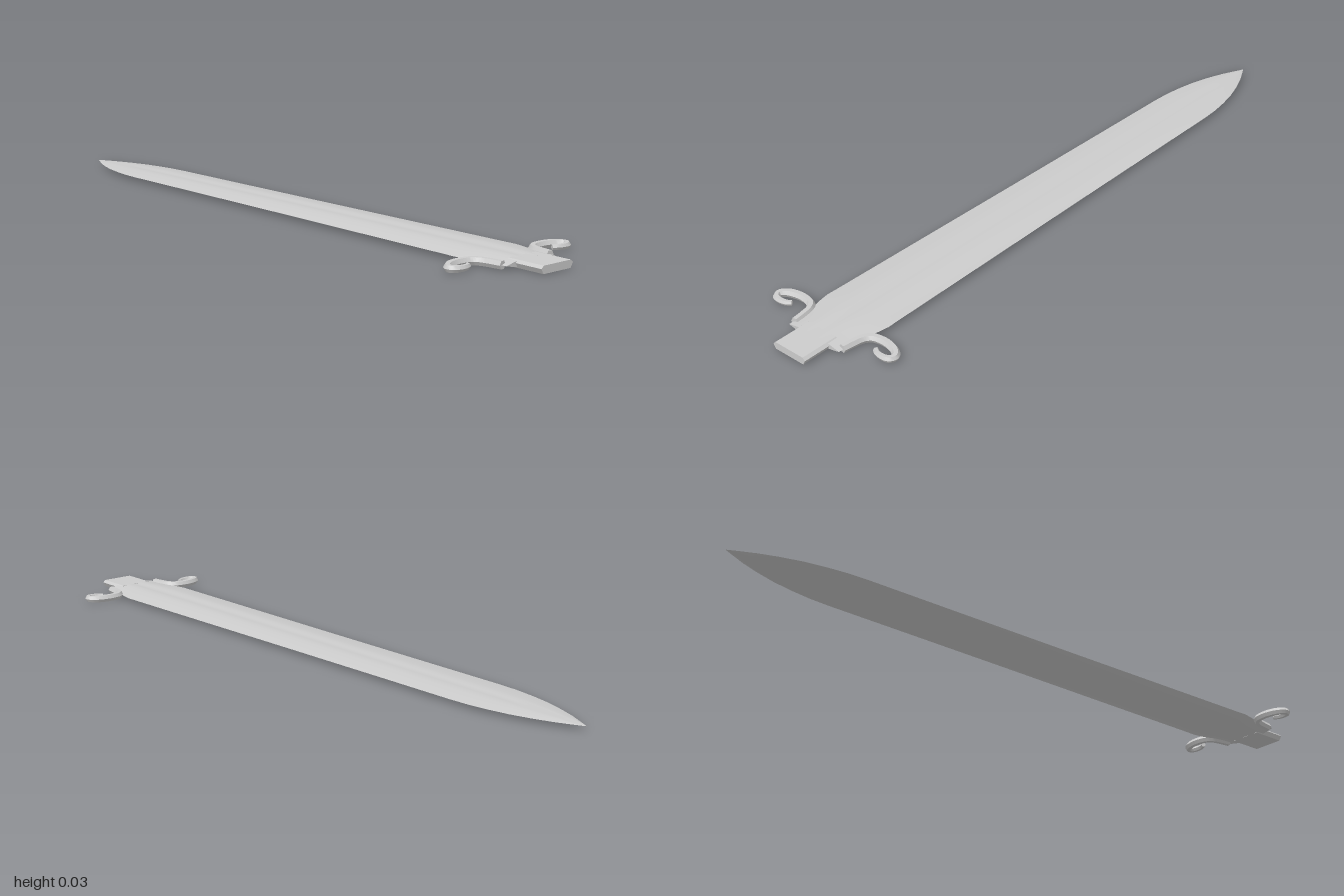
import * as THREE from 'three';
import { toCreasedNormals } from 'three/addons/utils/BufferGeometryUtils.js';

const MID = 0.0125; // height of the sword's central plane

// Skin closed rings of points (counter-clockwise about the travel direction), capped at both ends
function loft(rings, crease) {
  const n = rings[0].length, pos = [], idx = [];
  rings.forEach(r => r.forEach(p => pos.push(p.x, p.y, p.z)));
  for (let i = 0; i < rings.length - 1; i++) {
    for (let j = 0; j < n; j++) {
      const k = (j + 1) % n;
      const a = i * n + j, b = i * n + k, c = a + n, d = b + n;
      idx.push(a, b, d, a, d, c);
    }
  }
  [0, rings.length - 1].forEach((i, end) => {
    const centre = new THREE.Vector3();
    rings[i].forEach(p => centre.addScaledVector(p, 1 / n));
    const c = pos.length / 3;
    pos.push(centre.x, centre.y, centre.z);
    for (let j = 0; j < n; j++) {
      const a = i * n + j, b = i * n + (j + 1) % n;
      if (end) idx.push(c, a, b); else idx.push(c, b, a);
    }
  });
  const geo = new THREE.BufferGeometry();
  geo.setAttribute('position', new THREE.Float32BufferAttribute(pos, 3));
  geo.setIndex(idx);
  return toCreasedNormals(geo, crease);
}

// Closed ring from the upper half of a symmetric section, given as [x, h] from centre to edge
function section(half, w, h, z) {
  const right = half.map(([x, y]) => [x * w, y * h]);
  const left = right.slice(1).reverse().map(([x, y]) => [-x, y]);
  const top = [...right.slice().reverse(), ...left.slice().reverse()]; // right edge to left edge
  const bottom = top.slice(1, -1).reverse().map(([x, y]) => [x, -y]);
  return [...top, ...bottom].map(([x, y]) => new THREE.Vector3(x, MID + y, z));
}

export function createModel() {
  const group = new THREE.Group();
  const steel = new THREE.MeshStandardMaterial({ color: 0xcccccc });
  steel.name = 'steel';
  const add = (name, geo) => {
    const mesh = new THREE.Mesh(geo, steel);
    mesh.name = name;
    group.add(mesh);
  };

  // Blade: stations of [z, half width, half thickness]; shallow fuller between two low ridges
  const bladeHalf = [[0, 0.8], [0.12, 0.88], [0.25, 1], [0.42, 0.88], [0.7, 0.55], [1, 0]];
  const stations = [
    [-1, 0.001, 0.0004], [-0.97, 0.016, 0.002], [-0.93, 0.035, 0.0035], [-0.88, 0.054, 0.005],
    [-0.82, 0.072, 0.0062], [-0.76, 0.084, 0.007], [-0.7, 0.092, 0.0077], [-0.64, 0.095, 0.008],
    [-0.4, 0.097, 0.0088], [0, 0.101, 0.0105], [0.4, 0.106, 0.012], [0.74, 0.11, 0.0125],
    [0.77, 0.111, 0.0125], [0.8, 0.106, 0.0125], [0.84, 0.096, 0.0122], [0.88, 0.09, 0.0115],
    [0.92, 0.09, 0.0105],
  ];
  add('blade', loft(stations.map(([z, w, h]) => section(bladeHalf, w, h, z)), 0.6));

  // Tang: flat bar with bevelled sides
  const tangHalf = [[0, 1], [0.86, 1], [1, 0.3]];
  add('tang', loft([0.89, 1].map(z => section(tangHalf, 0.057, 0.0103, z)), 0.3));

  // Scrolls: six-sided bars curling outwards from the shoulders, as [x, z]
  const path = [
    [0.086, 0.905], [0.09, 0.875], [0.097, 0.845], [0.112, 0.827], [0.14, 0.82], [0.17, 0.822],
    [0.198, 0.833], [0.21, 0.848], [0.204, 0.861], [0.186, 0.866], [0.165, 0.863], [0.152, 0.855],
  ];
  for (const side of [1, -1]) {
    const curve = new THREE.CatmullRomCurve3(path.map(([x, z]) => new THREE.Vector3(side * x, MID, z)));
    const up = new THREE.Vector3(0, 1, 0), rings = [], steps = 48;
    for (let i = 0; i <= steps; i++) {
      const t = i / steps, p = curve.getPointAt(t);
      const across = new THREE.Vector3().crossVectors(up, curve.getTangentAt(t)).normalize();
      const r = 0.0118 - 0.0045 * Math.max(0, (t - 0.6) / 0.4);
      rings.push(Array.from({ length: 6 }, (_, j) => {
        const a = j * Math.PI / 3;
        return p.clone().addScaledVector(across, r * Math.cos(a)).addScaledVector(up, r * Math.sin(a));
      }));
    }
    add(side > 0 ? 'leftScroll' : 'rightScroll', loft(rings, 0.7));
  }
  return group;
}
